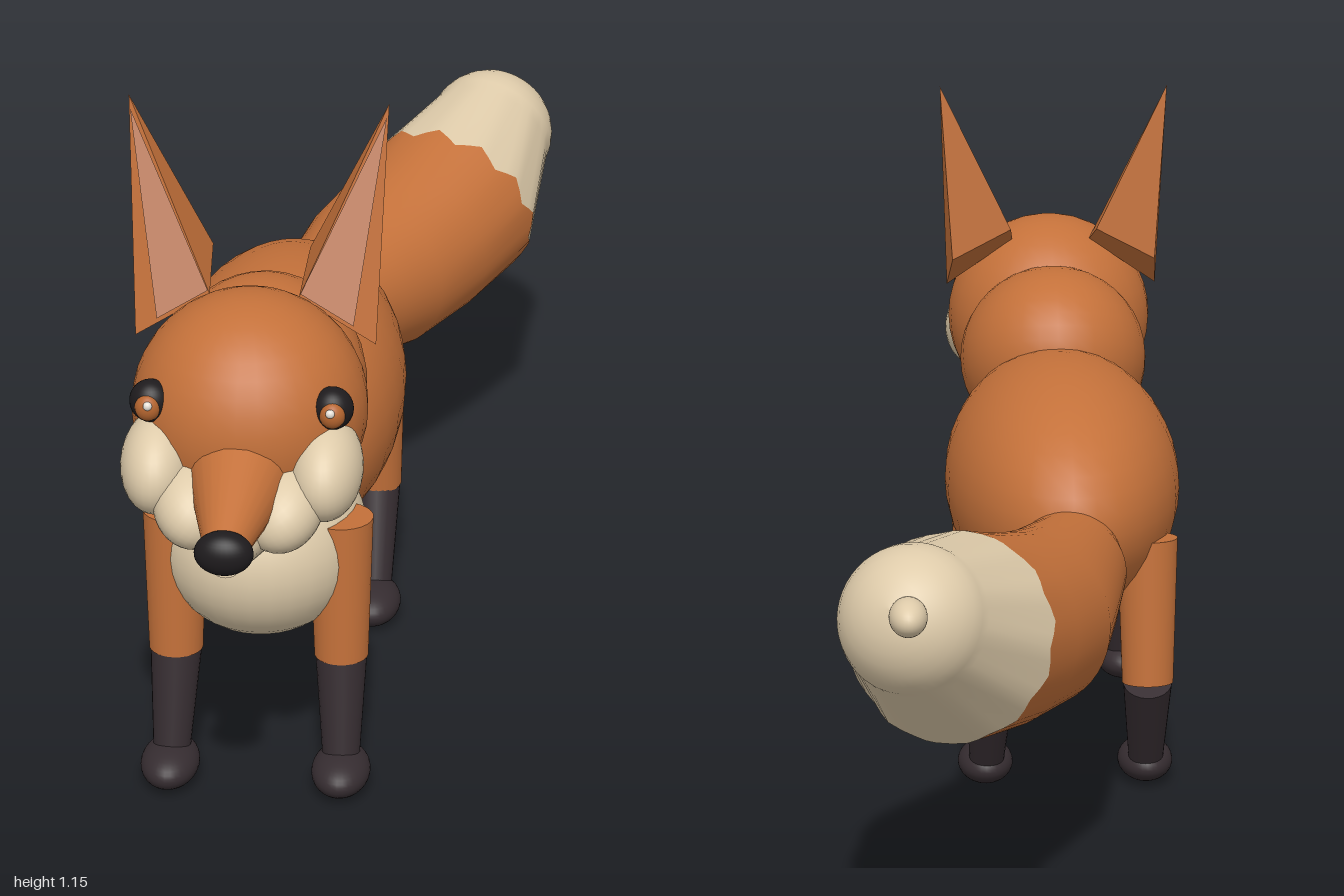
import * as THREE from 'three';

const mat = (name, color, side = THREE.FrontSide) => {
  const m = new THREE.MeshStandardMaterial({ color, side });
  m.name = name;
  return m;
};

export function createModel() {
  const orange = mat('orange fur', 0xc4713a);
  const cream = mat('cream fur', 0xdecbaa);
  const dark = mat('dark stockings', 0x352c30);
  const black = mat('black', 0x1e1b1d);
  const amber = mat('amber iris', 0xb5652f);
  const pink = mat('inner ear', 0xcb8b6c, THREE.DoubleSide);
  const white = mat('eye glint', 0xf5efe6);

  const CX = -0.092; // the body's own centre line
  const root = new THREE.Group();
  root.name = 'fox';
  const V = (p) => new THREE.Vector3(...p);

  const add = (name, geometry, material) => {
    const mesh = new THREE.Mesh(geometry, material);
    mesh.name = name;
    root.add(mesh);
    return mesh;
  };

  const blob = (name, m, pos, radii, rot = [0, 0, 0]) => {
    const mesh = add(name, new THREE.SphereGeometry(1, 32, 20), m);
    mesh.position.set(...pos);
    mesh.scale.set(...radii);
    mesh.rotation.set(...rot);
  };

  // Tapered cylinder from a to b
  const limb = (name, m, a, b, ra, rb) => {
    const d = V(b).sub(V(a));
    const mesh = add(name, new THREE.CylinderGeometry(rb, ra, d.length(), 24), m);
    mesh.position.copy(V(a)).addScaledVector(d, 0.5);
    mesh.quaternion.setFromUnitVectors(new THREE.Vector3(0, 1, 0), d.normalize());
    return mesh;
  };

  // Round tube through rings [x, y, z, radius]; scallop waves one chosen ring
  const loft = (name, m, rings, scallopRing) => {
    const N = 48, pos = [], index = [];
    rings.forEach((ring, i) => {
      const a = rings[Math.max(0, i - 1)], b = rings[Math.min(rings.length - 1, i + 1)];
      const t = new THREE.Vector3(b[0] - a[0], b[1] - a[1], b[2] - a[2]).normalize();
      if (i === scallopRing) t.set(0.36, 0.36, -0.86).normalize();
      const u = new THREE.Vector3(0, 1, 0).cross(t).normalize();
      const v = t.clone().cross(u);
      for (let j = 0; j < N; j++) {
        const w = (j / N) * Math.PI * 2;
        const p = V(ring.slice(0, 3))
          .addScaledVector(u, Math.cos(w) * ring[3])
          .addScaledVector(v, Math.sin(w) * ring[3]);
        if (i === scallopRing) p.addScaledVector(t, 0.012 * Math.cos(w * 12));
        pos.push(p.x, p.y, p.z);
        if (i > 0) {
          const k = (j + 1) % N, r0 = (i - 1) * N, r1 = i * N;
          index.push(r0 + j, r0 + k, r1 + j, r0 + k, r1 + k, r1 + j);
        }
      }
    });
    const g = new THREE.BufferGeometry();
    g.setAttribute('position', new THREE.Float32BufferAttribute(pos, 3));
    g.setIndex(index);
    g.computeVertexNormals();
    add(name, g, m);
  };

  // Flat-faced solid from triangles of points
  const facets = (name, m, tris) => {
    const g = new THREE.BufferGeometry();
    g.setAttribute('position', new THREE.Float32BufferAttribute(tris.flat(2), 3));
    g.computeVertexNormals();
    add(name, g, m);
  };

  // Trunk, neck and head
  blob('body', orange, [CX, 0.51, 0.18], [0.205, 0.214, 0.4]);
  blob('neck', orange, [CX, 0.655, 0.47], [0.168, 0.165, 0.2], [0.4, 0, 0]);
  blob('chest', cream, [CX, 0.4, 0.485], [0.17, 0.16, 0.187]);
  blob('head', orange, [CX, 0.7, 0.63], [0.185, 0.185, 0.185]);

  // Muzzle, jaw and nose
  limb('muzzle', orange, [CX, 0.65, 0.74], [CX, 0.617, 0.955], 0.09, 0.033);
  const jaw = limb('lowerJaw', cream, [CX, 0.545, 0.72], [CX, 0.588, 0.955], 0.055, 0.02);
  jaw.scale.x = 1.15;
  blob('nose', black, [CX, 0.617, 0.97], [0.045, 0.035, 0.03]);

  // Paired parts: s = 1 is the model's left
  for (const s of [1, -1]) {
    const side = s > 0 ? 'left' : 'right';
    const X = (o) => CX + s * o;

    blob(side + 'Cheek', cream, [X(0.13), 0.65, 0.74], [0.058, 0.073, 0.095], [0.25, 0, 0]);
    blob(side + 'MuzzlePad', cream, [X(0.068), 0.607, 0.785], [0.066, 0.06, 0.088], [0.3, 0, s * 0.5]);

    blob(side + 'Eye', black, [X(0.14), 0.752, 0.738], [0.033, 0.034, 0.03]);
    blob(side + 'Iris', amber, [X(0.142), 0.75, 0.758], [0.02, 0.022, 0.018]);
    blob(side + 'EyeGlint', white, [X(0.14), 0.759, 0.774], [0.007, 0.007, 0.006]);

    // Ear: four-sided pyramid with a thin inner plate
    const tip = [X(0.203), 1.152, 0.48];
    const base = [[0.19, 0.775, 0.553], [0.07, 0.855, 0.563], [0.077, 0.895, 0.458], [0.182, 0.84, 0.458]]
      .map(([o, y, z]) => [X(o), y, z]);
    const tris = base.map((p, i) => [p, base[(i + 1) % 4], tip]);
    tris.push([base[2], base[1], base[0]], [base[3], base[2], base[0]]);
    // base order runs outer-front to inner-front, so it is reversed on the model's left
    facets(side + 'Ear', orange, s > 0 ? tris.map(([a, b, c]) => [a, c, b]) : tris);
    const mix = (a, b, t) => a.map((v, i) => v + (b[i] - v) * t);
    const lift = ([x, y, z]) => [x, y + 0.001, z + 0.004];
    facets(side + 'InnerEar', pink, [[
      lift(mix(mix(base[0], base[1], 0.3), tip, 0.02)),
      lift(mix(base[1], tip, 0.02)),
      lift(mix(mix(base[0], base[1], 0.3), tip, 0.94)),
    ]]);

    // Legs: hip, knee and ankle as [y, z]
    for (const [pair, hip, knee, ankle, footZ] of [
      ['Front', [0.466, 0.545], [0.22, 0.553], [0.05, 0.6], 0.612],
      ['Hind', [0.466, -0.052], [0.215, -0.075], [0.05, 0.005], 0.038],
    ]) {
      const part = side + pair;
      limb(part + 'UpperLeg', orange, [X(0.134), ...hip], [X(0.135), ...knee], 0.052, 0.044);
      limb(part + 'LowerLeg', dark, [X(0.135), ...knee], [X(0.139), ...ankle], 0.042, 0.03);
      blob(part + 'Foot', dark, [X(0.14), 0.037, footZ], [0.048, 0.035, 0.072]);
    }
  }

  // Tail: orange brush, then a cream end closed by a rounded cap
  const seam = [0.125, 0.495, -0.685, 0.166];
  loft('tail', orange, [
    [-0.09, 0.47, -0.13, 0.08], [-0.082, 0.462, -0.22, 0.098], [-0.04, 0.452, -0.34, 0.122],
    [0.0, 0.447, -0.45, 0.146], [0.065, 0.466, -0.57, 0.157], seam,
  ], 5);
  const end = [0.186, 0.572, -0.84], R = 0.118;
  const dir = V([0.34, 0.42, -0.84]).normalize();
  const cap = Array.from({ length: 9 }, (_, k) => {
    const a = (k / 8) * Math.PI / 2;
    const p = V(end).addScaledVector(dir, R * Math.sin(a));
    return [p.x, p.y, p.z, R * Math.cos(a) + 0.0001];
  });
  loft('tailEnd', cream, [seam, ...cap], 0);
  blob('tailTip', cream, [0.198, 0.613, -0.955], [0.029, 0.029, 0.045]);

  return root;
}
